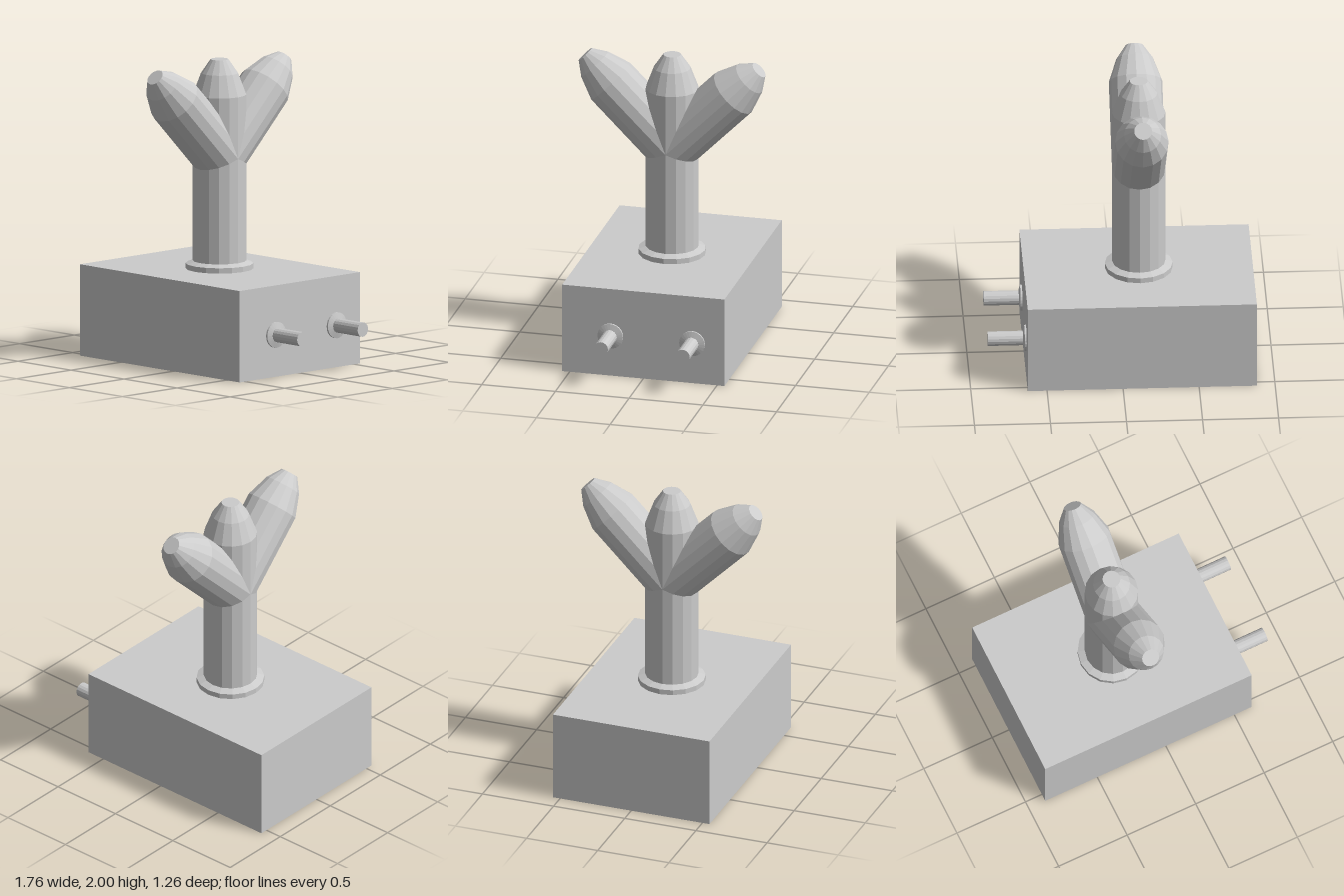
import * as THREE from 'three';

export function createModel() {
  const model = new THREE.Group();
  const flat = new THREE.MeshStandardMaterial({ color: 0xcccccc, flatShading: true });

  // Closed turned part from [radius, height] pairs, bottom to top
  function turned(name, profile, sides, parent) {
    const points = profile.map(([r, y]) => new THREE.Vector2(r, y));
    const mesh = new THREE.Mesh(new THREE.LatheGeometry(points, sides), flat);
    mesh.name = name;
    parent.add(mesh);
    return mesh;
  }

  // Plain block base
  const base = new THREE.Mesh(new THREE.BoxGeometry(1.507, 0.608, 1.1), flat);
  base.name = 'base';
  base.position.set(-0.1265, 0.304, 0);
  model.add(base);

  // Trunk with its collar and two limbs leaning at 45 degrees
  const trunk = new THREE.Group();
  trunk.name = 'trunk';
  trunk.position.x = -0.13;
  model.add(trunk);

  const r = 0.176;
  const stem = (bottom, shoulder, top) => [
    [0, bottom], [r, bottom], [r, shoulder],
    [0.122, top - 0.092], [0.059, top], [0, top],
  ];
  turned('collar', [[0, 0.6], [0.223, 0.6], [0.223, 0.643], [r, 0.661], [0, 0.661]], 16, trunk);
  turned('centreStem', stem(0.6, 1.765, 2), 16, trunk);
  for (const side of [1, -1]) {
    const limb = turned(side > 0 ? 'frontLimb' : 'backLimb', stem(0, 0.588, 0.834), 16, trunk);
    limb.position.y = 1.355;
    limb.rotation.x = side * Math.PI / 4;
  }

  // Two flanged pipes on the left end
  for (const z of [0.222, -0.332]) {
    const pipe = new THREE.Group();
    pipe.name = z > 0 ? 'frontPipe' : 'backPipe';
    pipe.position.set(0.62, 0.28, z);
    pipe.rotation.z = -Math.PI / 2;
    turned('pipeFlange', [[0, 0], [0.086, 0], [0.086, 0.019], [0.048, 0.029], [0, 0.029]], 24, pipe);
    turned('pipeTube', [[0, 0], [0.048, 0], [0.048, 0.26], [0, 0.26]], 16, pipe);
    model.add(pipe);
  }

  return model;
}
